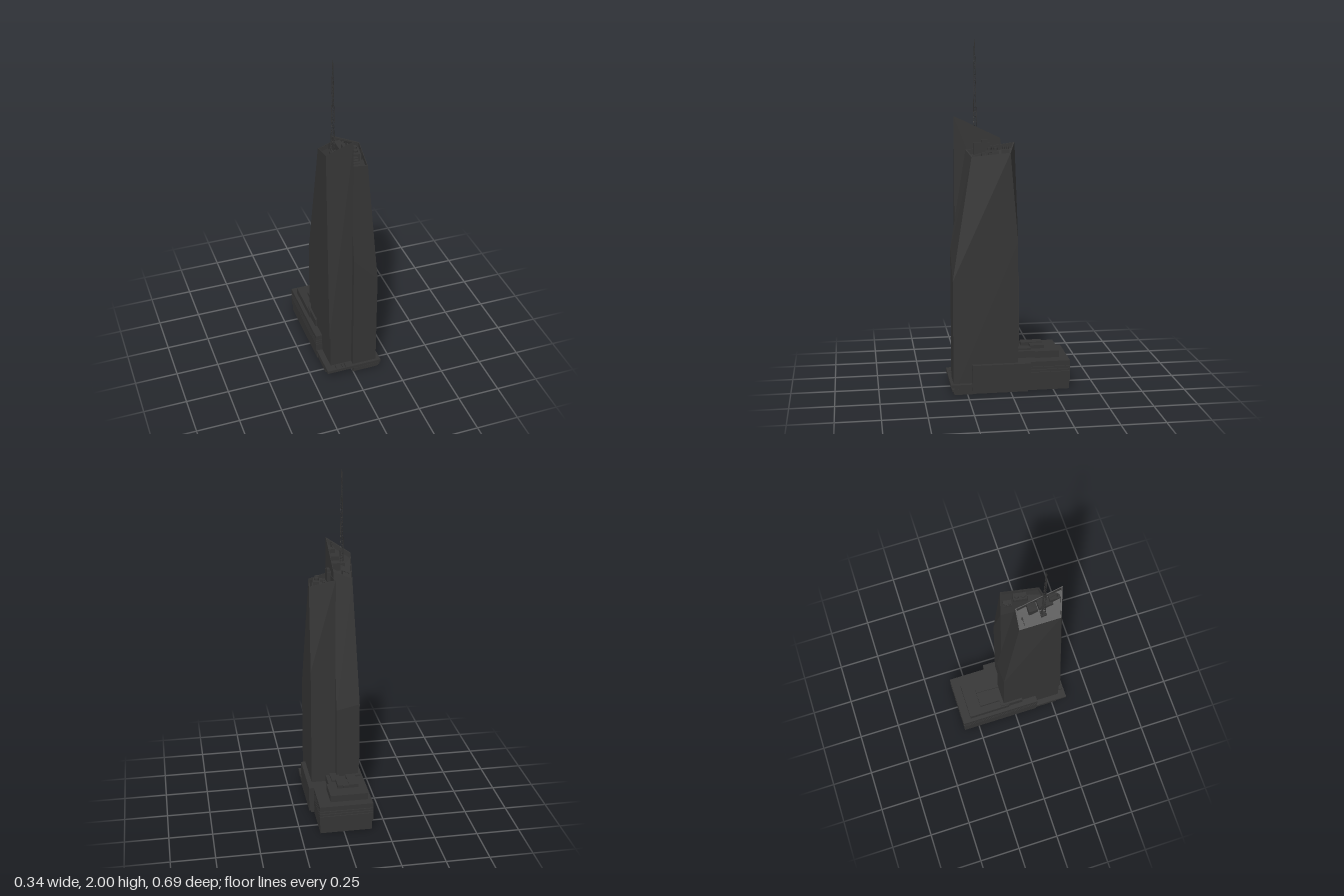
import * as THREE from 'three';

const dark = new THREE.MeshStandardMaterial({ color: 0x343434 });
dark.name = 'charcoal';

export function createModel() {
  const model = new THREE.Group();
  model.name = 'skyscraper';

  const add = (name, geometry, parent = model) => {
    const mesh = new THREE.Mesh(geometry, dark);
    mesh.name = name;
    parent.add(mesh);
    return mesh;
  };
  // Box given by its limits on each axis
  const block = (name, x0, x1, y0, y1, z0, z1) => {
    const mesh = add(name, new THREE.BoxGeometry(x1 - x0, y1 - y0, z1 - z0));
    mesh.position.set((x0 + x1) / 2, (y0 + y1) / 2, (z0 + z1) / 2);
    return mesh;
  };
  // Thin rod between two points
  const rod = (name, a, b, r, parent = model) => {
    const path = new THREE.LineCurve3(new THREE.Vector3(...a), new THREE.Vector3(...b));
    return add(name, new THREE.TubeGeometry(path, 1, r, 4), parent);
  };
  // Faceted solid through loops of four corners, capped at both ends
  const loft = (loops) => {
    const pos = [];
    const tri = (a, b, c) => pos.push(...a, ...b, ...c);
    for (let k = 0; k + 1 < loops.length; k++) {
      for (let i = 0; i < 4; i++) {
        const j = (i + 1) % 4, lo = loops[k], hi = loops[k + 1];
        if (lo[j] !== hi[j]) tri(lo[i], lo[j], hi[j]);
        if (lo[i] !== hi[i]) tri(lo[i], hi[j], hi[i]);
      }
    }
    const first = loops[0], last = loops[loops.length - 1];
    tri(last[0], last[1], last[2]);
    tri(last[0], last[2], last[3]);
    tri(first[2], first[1], first[0]);
    tri(first[3], first[2], first[0]);
    const g = new THREE.BufferGeometry();
    g.setAttribute('position', new THREE.Float32BufferAttribute(pos, 3));
    g.computeVertexNormals();
    return g;
  };
  // Tower: vertical shaft up to the fold, tapered crown, parapet and sunken roof
  const tower = (name, bottom, fold, top) => {
    const centre = [0, 1, 2].map((n) => top.reduce((s, p) => s + p[n] / 4, 0));
    const rim = top.map((p) => p.map((v, n) => centre[n] + (v - centre[n]) * 0.94));
    const floor = rim.map(([x, y, z]) => [x, y - 0.03, z]);
    add(name, loft([bottom, fold, top, rim, floor]));
  };

  // West tower, the tall one (corners run front left, front right, back right, back left)
  const peak = [-0.003, 1.575, 0.302];
  tower('tallTower',
    [[-0.14, 0.27, 0.302], [-0.003, 0.27, 0.302], [-0.003, 0.27, -0.07], [-0.14, 0.27, -0.07]],
    [[-0.14, 0.28, 0.302], peak, [-0.003, 0.64, -0.07], [-0.14, 0.67, -0.07]],
    [[-0.14, 1.49, 0.252], peak, [-0.003, 1.45, 0.039], [-0.11, 1.405, 0.028]]);
  block('tallTowerBase', -0.132, -0.003, 0, 0.27, -0.07, 0.298);

  // East tower, the lower one, turned half round
  const backPeak = [-0.003, 1.425, -0.043];
  tower('lowTower',
    [[-0.003, 0, 0.328], [0.142, 0, 0.328], [0.142, 0, -0.043], [-0.003, 0, -0.043]],
    [[-0.003, 0.82, 0.328], [0.142, 0.66, 0.328], [0.142, 0.88, -0.043], backPeak],
    [[-0.003, 1.385, 0.236], [0.113, 1.357, 0.215], [0.142, 1.38, 0], backPeak]);

  // Roof equipment, standing on the sloped roofs
  const tallRoof = (x, z) => 1.42 + 0.45 * (x + 0.003) + 0.475 * (z - 0.039);
  const lowRoof = (x, z) => 1.395 - 0.27 * (x + 0.003) - 0.143 * (z + 0.043);
  const unit = (name, roof, x, z, w, h, d, turn = 0) => {
    const y = roof(x, z);
    const mesh = block(name, x - w / 2, x + w / 2, y - 0.015, y + h, z - d / 2, z + d / 2);
    mesh.rotation.y = turn;
  };
  const fan = (x, z, r, y) => {
    const mesh = add('roofFan', new THREE.CylinderGeometry(r, r, 0.012, 16));
    mesh.position.set(x, y, z);
  };
  unit('coolingUnit', lowRoof, 0.084, 0.094, 0.04, 0.035, 0.075, -0.14);
  fan(0.086, 0.076, 0.014, 1.4);
  fan(0.08, 0.111, 0.014, 1.4);
  unit('smallCoolingUnit', lowRoof, 0.064, 0.017, 0.033, 0.025, 0.045, -0.14);
  fan(0.057, 0.005, 0.008, 1.4);
  fan(0.054, 0.027, 0.008, 1.4);
  for (let i = 0; i < 4; i++) {
    unit('ventBank', lowRoof, 0.062 - i * 0.003, 0.142 + i * 0.018, 0.038, 0.026 - i * 0.004, 0.018, -0.14);
  }
  unit('liftHouse', lowRoof, 0.008, 0.148, 0.02, 0.06, 0.09);
  unit('liftCap', lowRoof, 0.012, 0.13, 0.015, 0.075, 0.035);
  unit('plantRoom', tallRoof, -0.031, 0.125, 0.048, 0.03, 0.05);
  unit('plantRoom', tallRoof, -0.031, 0.195, 0.05, 0.02, 0.08);
  unit('plantRoom', tallRoof, -0.025, 0.25, 0.036, 0.015, 0.06);
  const crane = (roof, x0, z0, x1, z1) => {
    const y = roof(x0, z0);
    rod('craneArm', [x0, y + 0.04, z0], [x1, roof(x1, z1) + 0.04, z1], 0.002);
    rod('cranePost', [x0, y, z0], [x0, y + 0.04, z0], 0.004);
  };
  crane(tallRoof, -0.058, 0.061, -0.1, 0.061);
  crane(tallRoof, -0.03, 0.265, -0.03, 0.215);
  crane(lowRoof, 0.113, 0.12, 0.119, 0.088);

  // Lattice mast
  const mast = new THREE.Group();
  mast.name = 'mast';
  mast.position.set(-0.074, 0, 0.174);
  model.add(mast);
  const base = 1.46, tip = 1.985, bays = 20;
  const corner = (k, i) => {
    const s = 0.013 - 0.010 * (k / bays);
    const a = Math.PI / 4 + i * Math.PI / 2;
    return [Math.cos(a) * s, base + (tip - base) * (k / bays), Math.sin(a) * s];
  };
  for (let i = 0; i < 4; i++) {
    rod('mastLeg', corner(0, i), corner(bays, i), 0.0009, mast);
    for (let k = 0; k < bays; k++) {
      rod('mastBrace', corner(k, i), corner(k + 1, (i + 1) % 4), 0.0006, mast);
      rod('mastRing', corner(k, i), corner(k, (i + 1) % 4), 0.0006, mast);
    }
  }
  rod('mastTip', [0, tip - 0.03, 0], [0, 2, 0], 0.0015, mast);
  unit('mastPlinth', tallRoof, -0.074, 0.174, 0.032, 0.006, 0.032);

  // Podium with horizontal window bands
  block('podiumCore', -0.16, 0.132, 0, 0.16, -0.34, 0.14);
  block('podiumLowerWall', -0.164, 0.137, 0, 0.055, -0.345, 0.14);
  for (const [y0, y1] of [[0.055, 0.106], [0.11, 0.122], [0.126, 0.138], [0.142, 0.17]]) {
    block('podiumBandBack', -0.171, 0.14, y0, y1, -0.348, -0.116);
    block('podiumBandSide', -0.171, -0.12, y0, y1, -0.116, 0.143);
  }
  block('podiumDeck', -0.165, 0.14, 0.15, 0.17, -0.12, -0.04);
  block('eastWing', 0.1, 0.168, 0.02, 0.17, -0.116, 0.221);
  block('eastWingBase', 0.1, 0.155, 0, 0.02, -0.1, 0.215);

  // Stepped roofs over the podium
  block('podiumRoofBack', -0.15, 0.07, 0.17, 0.21, -0.297, -0.155);
  block('podiumRoofMiddle', -0.15, 0.058, 0.17, 0.21, -0.155, -0.04);
  block('podiumRoofSide', -0.144, -0.1, 0.17, 0.22, -0.09, 0.05);
  block('podiumPlantWest', -0.107, -0.053, 0.21, 0.23, -0.217, -0.09);
  block('podiumPlantMiddle', -0.053, -0.018, 0.21, 0.225, -0.217, -0.137);
  block('podiumPlantEast', -0.017, 0.035, 0.21, 0.22, -0.135, -0.04);
  block('podiumPlantEdge', -0.017, 0.014, 0.21, 0.23, -0.217, -0.135);

  // Street canopy with three slots, wrapping the front of the towers
  const outline = new THREE.Shape([[-0.166, 0.143], [-0.166, 0.345], [0.168, 0.345], [0.168, 0.221],
    [0.13, 0.221], [0.13, 0.29], [-0.12, 0.29], [-0.12, 0.143]].map(([x, z]) => new THREE.Vector2(x, -z)));
  for (const x of [-0.109, -0.07, -0.051]) {
    outline.holes.push(new THREE.Path([[-0.002, 0.304], [0.002, 0.304], [0.002, 0.335], [-0.002, 0.335]]
      .map(([dx, z]) => new THREE.Vector2(x + dx, -z))));
  }
  const canopy = add('canopy', new THREE.ExtrudeGeometry(outline, { depth: 0.018, bevelEnabled: false }));
  canopy.rotation.x = -Math.PI / 2;
  canopy.position.y = 0.042;
  block('lobbyWallWest', -0.158, -0.12, 0, 0.042, 0.14, 0.28);
  block('lobbyWallEast', 0.1, 0.16, 0, 0.042, 0.215, 0.325);
  block('shopfrontBand', 0.0, 0.165, 0.02, 0.034, 0.3, 0.338);
  return model;
}
